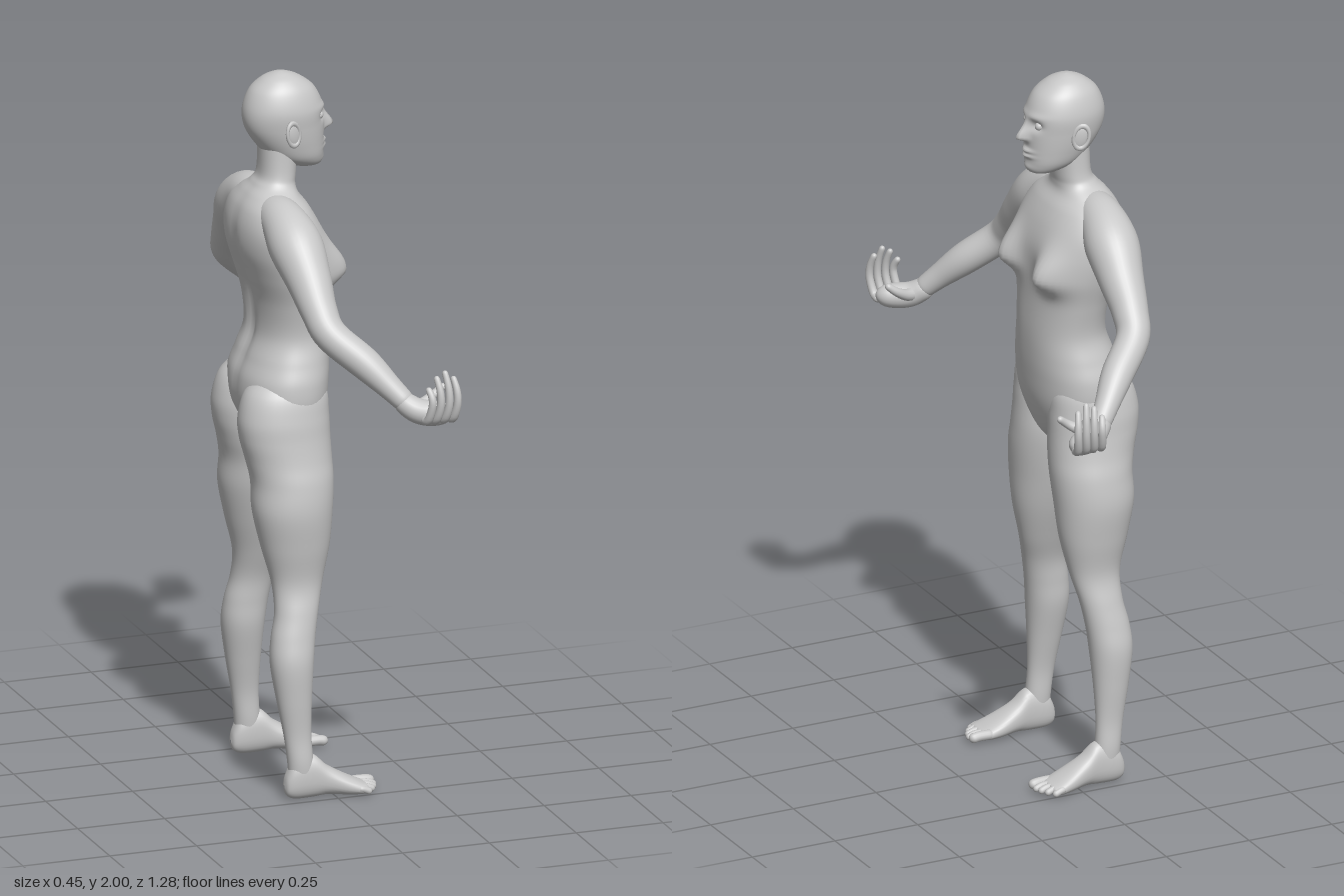
import * as THREE from 'three';

const skin = new THREE.MeshStandardMaterial({ color: 0xc8c8c8 });
skin.name = 'plain grey';

// Smooth interpolation through rows of numbers, u from 0 to 1
function sample(keys, u) {
  const n = keys.length - 1, s = Math.min(u * n, n - 1e-6), i = Math.floor(s), t = s - i;
  const k = (j) => keys[Math.max(0, Math.min(n, j))];
  return keys[0].map((_, c) => {
    const a = k(i - 1)[c], b = k(i)[c], d = k(i + 1)[c], e = k(i + 2)[c];
    return b + 0.5 * t * (d - a + t * (2 * a - 5 * b + 4 * d - e + t * (3 * (b - d) + e - a)));
  });
}

// Closed rings joined into a smooth skin
function ringSurface(rows, cols, point) {
  const pos = [], index = [];
  for (let i = 0; i <= rows; i++)
    for (let j = 0; j < cols; j++) pos.push(...point(i / rows, (j / cols) * Math.PI * 2).toArray());
  for (let i = 0; i < rows; i++)
    for (let j = 0; j < cols; j++) {
      const k = (j + 1) % cols, a = i * cols + j, b = a + cols, c = i * cols + k, d = c + cols;
      index.push(a, b, c, b, d, c);
    }
  const g = new THREE.BufferGeometry();
  g.setAttribute('position', new THREE.Float32BufferAttribute(pos, 3));
  g.setIndex(index);
  g.computeVertexNormals();
  return g;
}

// Sections [t, a0, a1, z0, z1] stacked along y (a = x) or along x (a = y)
function loft(keys, { axis = 'y', rows = 80, cols = 48, power = 1, shape = (p) => p } = {}) {
  const soft = (v) => Math.sign(v) * Math.abs(v) ** power;
  return ringSurface(rows, cols, (u, ang) => {
    const [t, a0, a1, z0, z1] = sample(keys, u);
    const a = (a0 + a1) / 2 + ((a1 - a0) / 2) * soft(Math.cos(ang));
    const side = axis === 'y' ? 1 : -1;
    const z = (z0 + z1) / 2 + ((z1 - z0) / 2) * soft(Math.sin(ang)) * side;
    return shape(axis === 'y' ? new THREE.Vector3(a, t, z) : new THREE.Vector3(t, a, z), Math.cos(ang));
  });
}

// Round-ended limb through points [x, y, z, radius]
function limb(keys, ref = [0, 1, 0], rows = 24, cols = 14) {
  const at = (u) => new THREE.Vector3(...sample(keys, u).slice(0, 3));
  const start = at(0), end = at(1), up = new THREE.Vector3(...ref);
  return ringSurface(rows, cols, (u, ang) => {
    const t = (1 - Math.cos(Math.PI * u)) / 2, c = at(t);
    let r = sample(keys, t)[3];
    const d = Math.min(1, c.distanceTo(start) / r, c.distanceTo(end) / r);
    r *= Math.sqrt(Math.max(1e-5, 1 - (1 - d) ** 2));
    const T = at(Math.min(1, t + 0.01)).sub(at(Math.max(0, t - 0.01))).normalize();
    const N = up.clone().cross(T).normalize(), B = N.clone().cross(T);
    return c.addScaledVector(N, r * Math.cos(ang)).addScaledVector(B, r * Math.sin(ang));
  });
}

const bump = (d, w) => Math.exp(-((d / w) ** 2));

function mirrored(geo) {
  const g = geo.clone().scale(1, 1, -1), id = g.index.array;
  for (let i = 0; i < id.length; i += 3) [id[i], id[i + 1]] = [id[i + 1], id[i]];
  g.computeVertexNormals();
  return g;
}

export function createModel() {
  const model = new THREE.Group();
  model.name = 'mannequin';
  const add = (name, geo) => {
    const m = new THREE.Mesh(geo, skin);
    m.name = name;
    model.add(m);
  };
  // The figure faces +x, so its two sides lie at +z and -z
  const pair = (name, geo) => {
    add(name + 'A', geo);
    add(name + 'B', mirrored(geo));
  };
  const even = (rows) => rows.map(([t, a0, a1, z]) => [t, a0, a1, -z, z]);

  // Torso and neck, with chest relief and a spine groove
  add('torso', loft(even([
    [0.935, -0.09, -0.03, 0.012], [0.97, -0.14, 0.0, 0.08], [1.02, -0.18, 0.02, 0.15],
    [1.08, -0.205, 0.035, 0.185], [1.15, -0.205, 0.042, 0.188], [1.21, -0.185, 0.045, 0.172],
    [1.28, -0.163, 0.045, 0.155], [1.37, -0.168, 0.04, 0.168], [1.45, -0.19, 0.038, 0.188],
    [1.52, -0.21, 0.033, 0.198], [1.58, -0.212, 0.015, 0.195], [1.63, -0.2, -0.01, 0.165],
    [1.665, -0.178, -0.035, 0.115], [1.69, -0.155, -0.04, 0.078], [1.72, -0.138, -0.037, 0.066],
    [1.8, -0.135, -0.03, 0.062],
  ]), {
    rows: 110, cols: 72, power: 0.9,
    shape: (p, c) => {
      const z = Math.abs(p.z);
      if (c > 0) p.x += 0.055 * bump(z - 0.11, 0.05) * bump(p.y - 1.455, p.y > 1.455 ? 0.075 : 0.04);
      else p.x += 0.016 * bump(z, 0.025) * bump(p.y - 1.36, 0.2);
      return p;
    },
  }));

  // Head with brow, eye sockets, nose, lips and chin
  add('head', loft(even([
    [1.727, -0.02, 0.02, 0.012], [1.735, -0.05, 0.038, 0.04], [1.76, -0.105, 0.044, 0.063],
    [1.8, -0.145, 0.045, 0.076], [1.85, -0.175, 0.045, 0.085], [1.9, -0.18, 0.042, 0.088],
    [1.95, -0.162, 0.02, 0.074], [1.98, -0.13, -0.016, 0.051], [1.995, -0.098, -0.05, 0.024],
    [2.0, -0.075, -0.073, 0.001],
  ]), {
    rows: 110, cols: 96, power: 0.95,
    shape: (p, c) => {
      if (c < 0) return p;
      const z = Math.abs(p.z), { y } = p;
      p.x -= 0.013 * bump(z - 0.034, 0.018) * bump(y - 1.874, 0.014);
      p.x += 0.004 * bump(z - 0.03, 0.03) * bump(y - 1.9, 0.01);
      p.x += 0.032 * bump(z, 0.013) * bump(y - 1.835, y > 1.835 ? 0.035 : 0.01);
      p.x += 0.01 * bump(z, 0.024) * (bump(y - 1.797, 0.006) + bump(y - 1.782, 0.006));
      p.x += 0.005 * bump(z, 0.025) * bump(y - 1.748, 0.012);
      return p;
    },
  }));
  pair('eye', new THREE.SphereGeometry(0.012, 20, 14).translate(0.024, 1.874, 0.034));
  pair('ear', new THREE.SphereGeometry(1, 20, 14).scale(0.022, 0.036, 0.009)
    .rotateZ(0.2).rotateY(0.35).translate(-0.07, 1.845, 0.091));
  pair('earRim', new THREE.TorusGeometry(0.021, 0.005, 8, 24).scale(1, 1.55, 1)
    .rotateZ(0.2).rotateY(0.35).translate(-0.072, 1.847, 0.097));

  // Legs, from ankle up to buttock
  pair('leg', loft([
    [0.03, -0.125, -0.05, 0.183, 0.235], [0.1, -0.13, -0.058, 0.178, 0.24],
    [0.18, -0.14, -0.063, 0.175, 0.236], [0.28, -0.158, -0.06, 0.156, 0.243],
    [0.38, -0.172, -0.053, 0.135, 0.248], [0.45, -0.167, -0.045, 0.13, 0.237],
    [0.52, -0.153, -0.032, 0.122, 0.222], [0.6, -0.155, -0.012, 0.095, 0.207],
    [0.7, -0.18, 0.01, 0.06, 0.222], [0.8, -0.2, 0.02, 0.032, 0.235],
    [0.88, -0.2, 0.026, 0.016, 0.229], [0.94, -0.212, 0.026, 0.006, 0.216],
    [1.0, -0.227, 0.024, 0.004, 0.207], [1.06, -0.23, 0.022, 0.005, 0.2],
    [1.13, -0.208, 0.015, 0.015, 0.182], [1.18, -0.15, -0.03, 0.05, 0.14],
  ], { rows: 90, cols: 40, power: 0.95 }));

  // Feet and toes, the big toe innermost
  pair('foot', loft([
    [-0.141, 0.03, 0.04, 0.203, 0.213], [-0.134, 0.01, 0.07, 0.188, 0.23],
    [-0.11, 0.0, 0.11, 0.179, 0.239], [-0.06, 0.0, 0.12, 0.176, 0.24],
    [-0.02, 0.004, 0.086, 0.17, 0.247], [0.03, 0.0, 0.056, 0.163, 0.259],
    [0.07, 0.0, 0.036, 0.165, 0.265], [0.087, 0.006, 0.028, 0.175, 0.257],
    [0.09, 0.015, 0.018, 0.2, 0.23],
  ], { axis: 'x', rows: 40, cols: 32, power: 0.85 }));
  for (let i = 0; i < 5; i++) {
    const r = i ? 0.0095 : 0.014, tip = 0.127 - 0.003 * i * i * 0.7, z = i ? 0.183 + 0.0185 * i : 0.179;
    pair('toe', limb([[0.055, 0.02, z - 0.002, r], [tip - 0.025, 0.02, z, r], [tip, r, z, r]]));
  }

  // Arms, from collarbone to wrist
  pair('arm', limb([
    [-0.12, 1.625, 0.03, 0.05], [-0.115, 1.615, 0.13, 0.062], [-0.107, 1.567, 0.21, 0.074],
    [-0.098, 1.495, 0.285, 0.062], [-0.092, 1.425, 0.35, 0.05], [-0.075, 1.37, 0.398, 0.046],
    [0.0, 1.3, 0.455, 0.044], [0.055, 1.24, 0.502, 0.034], [0.1, 1.19, 0.538, 0.028],
  ], [1, 0, 0], 70, 32));

  // Cupped hands: palm, four curled fingers and a thumb
  pair('palm', limb([
    [0.07, 1.215, 0.515, 0.028], [0.115, 1.182, 0.548, 0.034],
    [0.16, 1.176, 0.572, 0.034], [0.205, 1.18, 0.588, 0.024],
  ], [0, 1, 0], 30, 20));
  const reach = [1.265, 1.295, 1.308, 1.29];
  reach.forEach((top, i) => {
    const x = 0.122 + 0.024 * i;
    pair('finger', limb([
      [x, 1.165, 0.585, 0.013], [x + 0.004, 1.173, 0.612, 0.012], [x + 0.01, 1.215, 0.627, 0.011],
      [x + 0.009, (1.215 + top) / 2, 0.625, 0.01], [x + 0.002, top, 0.61, 0.008],
    ], [1, 0, 0]));
  });
  pair('thumb', limb([
    [0.105, 1.185, 0.54, 0.02], [0.145, 1.193, 0.524, 0.016],
    [0.18, 1.212, 0.513, 0.012], [0.21, 1.236, 0.517, 0.009],
  ]));

  return model;
}
